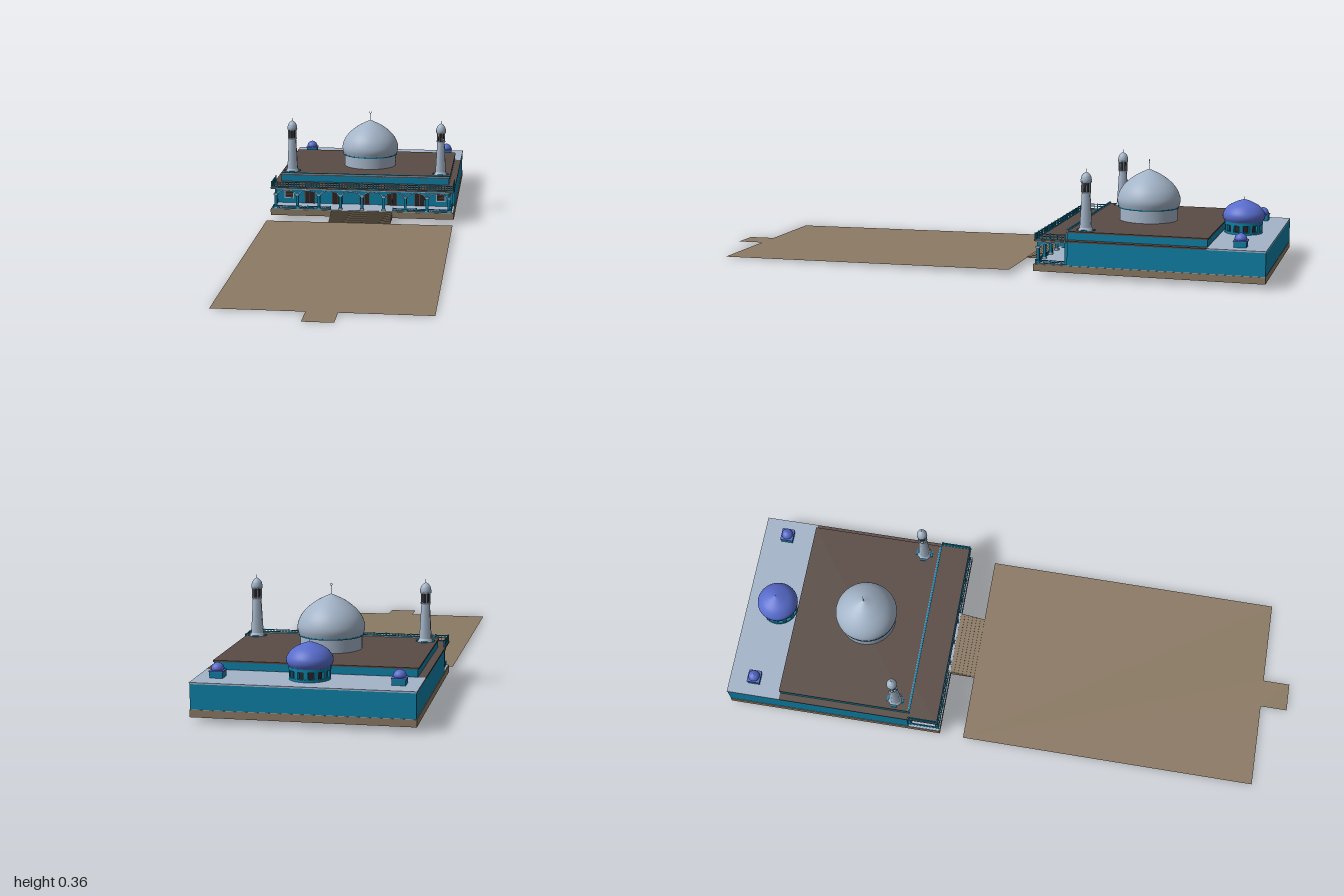
import * as THREE from 'three';

const mat = (name, color, side = THREE.FrontSide) => {
  const m = new THREE.MeshStandardMaterial({ color, side });
  m.name = name;
  return m;
};

export function createModel() {
  const root = new THREE.Group();
  root.name = 'domedHall';
  const tan = mat('tan paving', 0x8b7a64, THREE.DoubleSide);
  const teal = mat('teal wall', 0x0c80a6);
  const brown = mat('brown roof', 0x5a4b45);
  const pale = mat('pale stone', 0xa3b4c8);
  const blue = mat('blue dome', 0x586ccc);
  const dark = mat('dark opening', 0x2c2523);

  const add = (parent, name, geo, m, x = 0, y = 0, z = 0) => {
    const mesh = new THREE.Mesh(geo, m);
    mesh.name = name;
    mesh.position.set(x, y, z);
    parent.add(mesh);
    return mesh;
  };
  // Box given by its ranges on the three axes
  const box = (parent, name, m, x0, x1, y0, y1, z0, z1) =>
    add(parent, name, new THREE.BoxGeometry(x1 - x0, y1 - y0, z1 - z0), m,
      (x0 + x1) / 2, (y0 + y1) / 2, (z0 + z1) / 2);
  const lathe = (parent, name, m, pts, seg, x, y, z) =>
    add(parent, name, new THREE.LatheGeometry(pts.map(p => new THREE.Vector2(...p)), seg), m, x, y, z);
  const cyl = (parent, name, m, rTop, rBottom, y0, y1, x, z, seg = 8) =>
    add(parent, name, new THREE.CylinderGeometry(rTop, rBottom, y1 - y0, seg), m, x, (y0 + y1) / 2, z);
  const group = name => {
    const g = new THREE.Group();
    g.name = name;
    root.add(g);
    return g;
  };
  // Smooth profile through a few points
  const smooth = (pts, n = 28) =>
    new THREE.SplineCurve(pts.map(p => new THREE.Vector2(...p))).getPoints(n).map(p => [Math.max(p.x, 0), p.y]);

  // Gently sloping forecourt with a path stub at its front
  const outline = [[-0.347, 0.145], [-0.347, -0.905], [-0.05, -0.905], [-0.05, -1],
    [0.05, -1], [0.05, -0.905], [0.345, -0.905], [0.345, 0.145]];
  const court = new THREE.ShapeGeometry(new THREE.Shape(outline.map(p => new THREE.Vector2(...p))));
  court.rotateX(-Math.PI / 2);
  const cp = court.attributes.position;
  for (let i = 0; i < cp.count; i++) cp.setY(i, (1 - cp.getZ(i)) * 0.013);
  court.computeVertexNormals();
  add(root, 'forecourt', court, tan);

  // Platform, paved floor and steps
  box(root, 'platform', tan, -0.345, 0.345, 0.016, 0.039, -1, -0.23);
  box(root, 'porchFloor', pale, -0.343, 0.343, 0.039, 0.0405, -0.999, -0.232);
  for (let i = 0; i < 6; i++)
    box(root, 'step', tan, -0.115, 0.115, 0.014, 0.0185 + i * 0.0042, -0.231, -0.145 - i * 0.0145);

  // Walls and roofs
  box(root, 'lowerWalls', teal, -0.336, 0.336, 0.04, 0.118, -0.999, -0.335);
  box(root, 'rearWalls', teal, -0.343, 0.343, 0.04, 0.118, -0.9995, -0.345);
  box(root, 'lowerRoof', brown, -0.345, 0.345, 0.118, 0.123, -0.81, -0.232);
  box(root, 'roofEdge', pale, -0.343, 0.343, 0.115, 0.118, -0.34, -0.235);
  box(root, 'rearRoof', pale, -0.345, 0.345, 0.118, 0.123, -1, -0.81);
  box(root, 'upperWalls', teal, -0.32, 0.32, 0.123, 0.148, -0.808, -0.34);
  box(root, 'upperRoof', brown, -0.323, 0.323, 0.147, 0.152, -0.81, -0.338);
  box(root, 'frontCornice', pale, -0.323, 0.323, 0.152, 0.154, -0.344, -0.336);
  box(root, 'corniceBand', teal, -0.321, 0.321, 0.154, 0.157, -0.343, -0.337);

  // Doors and louvred windows on the front wall
  const front = group('frontWallDetails');
  for (const x of [-0.21, -0.105, 0, 0.105, 0.21]) {
    box(front, 'door', dark, x - 0.019, x + 0.019, 0.0405, 0.1, -0.336, -0.332);
    for (const dx of [-0.0185, 0, 0.0185])
      box(front, 'doorFrame', brown, x + dx - 0.0012, x + dx + 0.0012, 0.0405, 0.1, -0.334, -0.331);
  }
  for (const x of [-0.29, 0.29]) {
    box(front, 'windowFrame', pale, x - 0.018, x + 0.018, 0.058, 0.098, -0.336, -0.332);
    box(front, 'windowPane', dark, x - 0.0145, x + 0.0145, 0.062, 0.094, -0.336, -0.331);
    for (let i = 0; i < 5; i++)
      box(front, 'louvre', brown, x - 0.0145, x + 0.0145, 0.065 + i * 0.006, 0.067 + i * 0.006, -0.333, -0.3295);
  }

  // Porch columns
  const porch = group('porch');
  const bay = 0.0815, zp = -0.242;
  for (let i = -4; i <= 4; i++) {
    const x = i * bay;
    box(porch, 'columnBase', pale, x - 0.007, x + 0.007, 0.0405, 0.047, zp - 0.007, zp + 0.007);
    box(porch, 'columnShaft', teal, x - 0.005, x + 0.005, 0.047, 0.094, zp - 0.005, zp + 0.005);
    box(porch, 'columnCapital', pale, x - 0.0075, x + 0.0075, 0.092, 0.098, zp - 0.0075, zp + 0.0075);
  }

  // Arch panel and its pale rim, spanning one bay of width w
  const arch = (w, x, z, turn) => {
    const h = w / 2, a = h - 0.006, y0 = 0.097, rise = 0.015;
    const panel = new THREE.Shape();
    panel.moveTo(h, y0);
    panel.lineTo(h, 0.116);
    panel.lineTo(-h, 0.116);
    panel.lineTo(-h, y0);
    panel.lineTo(-a, y0);
    panel.absellipse(0, y0, a, rise, Math.PI, 0, true);
    const rim = new THREE.Shape();
    rim.absellipse(0, y0, a, rise, 0, Math.PI, false);
    rim.absellipse(0, y0, a - 0.004, rise - 0.003, Math.PI, 0, true);
    const piece = (name, s, depth, m) => {
      const g = new THREE.ExtrudeGeometry(s, { depth, bevelEnabled: false, curveSegments: 14 });
      g.translate(0, 0, -depth / 2);
      add(porch, name, g, m, x, 0, z).rotation.y = turn;
    };
    piece('archPanel', panel, 0.008, teal);
    piece('archRim', rim, 0.011, pale);
  };
  for (let i = -4; i < 4; i++) arch(bay, (i + 0.5) * bay, zp, 0);
  for (const s of [-1, 1]) arch(0.09, s * 4 * bay, -0.289, Math.PI / 2);

  // Railing along a straight line between two floor points
  const railing = (name, ax, az, bx, bz, y, h, n) => {
    const g = group(name), len = Math.hypot(bx - ax, bz - az);
    g.position.set(ax, y, az);
    g.rotation.y = Math.atan2(-(bz - az), bx - ax);
    for (const t of [0.15, 0.62, 1])
      box(g, 'rail', teal, 0, len, h * t - 0.0026, h * t, -0.0015, 0.0015);
    for (let i = 0; i <= n; i++) {
      const x = len * i / n, r = i % 4 ? 0.0009 : 0.002;
      box(g, 'baluster', teal, x - r, x + r, 0, i % 4 ? h : h + 0.002, -r, r);
    }
  };
  railing('balconyRailing', -0.341, -0.236, 0.341, -0.236, 0.123, 0.02, 64);
  for (const s of [-1, 1]) {
    railing('balconySideRailing', s * 0.341, -0.236, s * 0.341, -0.338, 0.123, 0.02, 8);
    railing('porchRailing', s * 0.334, -0.236, s * 0.118, -0.236, 0.0405, 0.012, 20);
    railing('porchSideRailing', s * 0.334, -0.236, s * 0.334, -0.338, 0.0405, 0.012, 8);
  }

  // Main dome on its drum
  const main = group('mainDome');
  main.position.set(0, 0, -0.55);
  cyl(main, 'drum', pale, 0.1, 0.1, 0.15, 0.196, 0, 0, 48);
  cyl(main, 'drumBand', teal, 0.105, 0.105, 0.195, 0.199, 0, 0, 48);
  lathe(main, 'domeShell', pale, smooth([[0.104, 0.198], [0.109, 0.217], [0.107, 0.236], [0.097, 0.259],
    [0.077, 0.283], [0.047, 0.306], [0.018, 0.321], [0, 0.329]]), 64, 0, 0, 0);
  cyl(main, 'finialRod', pale, 0.0008, 0.0012, 0.325, 0.357, 0, 0);
  add(main, 'finialRing', new THREE.TorusGeometry(0.0033, 0.0008, 6, 16), pale, 0, 0.359, 0);

  // Minarets
  for (const s of [-1, 1]) {
    const g = group(s > 0 ? 'leftMinaret' : 'rightMinaret');
    g.position.set(s * 0.285, 0, -0.395);
    box(g, 'footAcross', teal, -0.03, 0.03, 0.15, 0.156, -0.01, 0.01);
    box(g, 'footAlong', teal, -0.01, 0.01, 0.15, 0.156, -0.03, 0.03);
    cyl(g, 'foot', pale, 0.021, 0.027, 0.152, 0.163, 0, 0).geometry.rotateY(Math.PI / 8);
    cyl(g, 'shaft', pale, 0.0145, 0.021, 0.163, 0.279, 0, 0).geometry.rotateY(Math.PI / 8);
    cyl(g, 'lanternFloor', pale, 0.0175, 0.0155, 0.276, 0.282, 0, 0);
    cyl(g, 'lanternCore', dark, 0.0105, 0.0105, 0.282, 0.314, 0, 0);
    for (let i = 0; i < 8; i++) {
      const a = (i + 0.5) * Math.PI / 4;
      cyl(g, 'lanternPost', pale, 0.0022, 0.0022, 0.282, 0.315, 0.0145 * Math.cos(a), 0.0145 * Math.sin(a), 6);
    }
    cyl(g, 'lanternRoof', pale, 0.019, 0.0175, 0.312, 0.317, 0, 0, 16);
    lathe(g, 'cap', pale, smooth([[0.018, 0.316], [0.0185, 0.324], [0.015, 0.336], [0.007, 0.345], [0, 0.349]], 16),
      16, 0, 0, 0);
    cyl(g, 'spire', pale, 0.0005, 0.001, 0.347, 0.359, 0, 0, 6);
  }

  // Rear dome over an arcaded drum
  const rear = group('rearDome');
  rear.position.set(0, 0, -0.88);
  cyl(rear, 'drumCore', dark, 0.056, 0.056, 0.122, 0.16, 0, 0, 24);
  cyl(rear, 'drumFoot', teal, 0.064, 0.064, 0.122, 0.131, 0, 0, 32);
  cyl(rear, 'drumBand', teal, 0.065, 0.065, 0.153, 0.163, 0, 0, 32);
  for (let i = 0; i < 12; i++) {
    const a = i * Math.PI / 6;
    const p = box(rear, 'drumPier', teal, -0.007, 0.007, 0.131, 0.153, -0.005, 0.005);
    p.position.x = 0.058 * Math.sin(a);
    p.position.z = 0.058 * Math.cos(a);
    p.rotation.y = a;
  }
  lathe(rear, 'domeShell', blue, smooth([[0.064, 0.162], [0.0715, 0.177], [0.069, 0.194], [0.053, 0.214],
    [0.026, 0.229], [0, 0.238]]), 40, 0, 0, 0);
  cyl(rear, 'spire', blue, 0.0006, 0.001, 0.236, 0.246, 0, 0, 6);

  // Small corner turrets on the rear roof
  for (const s of [-1, 1]) {
    const g = group('cornerTurret');
    g.position.set(s * 0.28, 0, -0.91);
    box(g, 'turretBox', teal, -0.021, 0.021, 0.122, 0.142, -0.021, 0.021);
    box(g, 'turretTop', blue, -0.023, 0.023, 0.142, 0.145, -0.023, 0.023);
    lathe(g, 'turretDome', blue, smooth([[0.018, 0.144], [0.0205, 0.151], [0.016, 0.161], [0.007, 0.167], [0, 0.17]], 14),
      20, 0, 0, 0);
  }
  return root;
}
